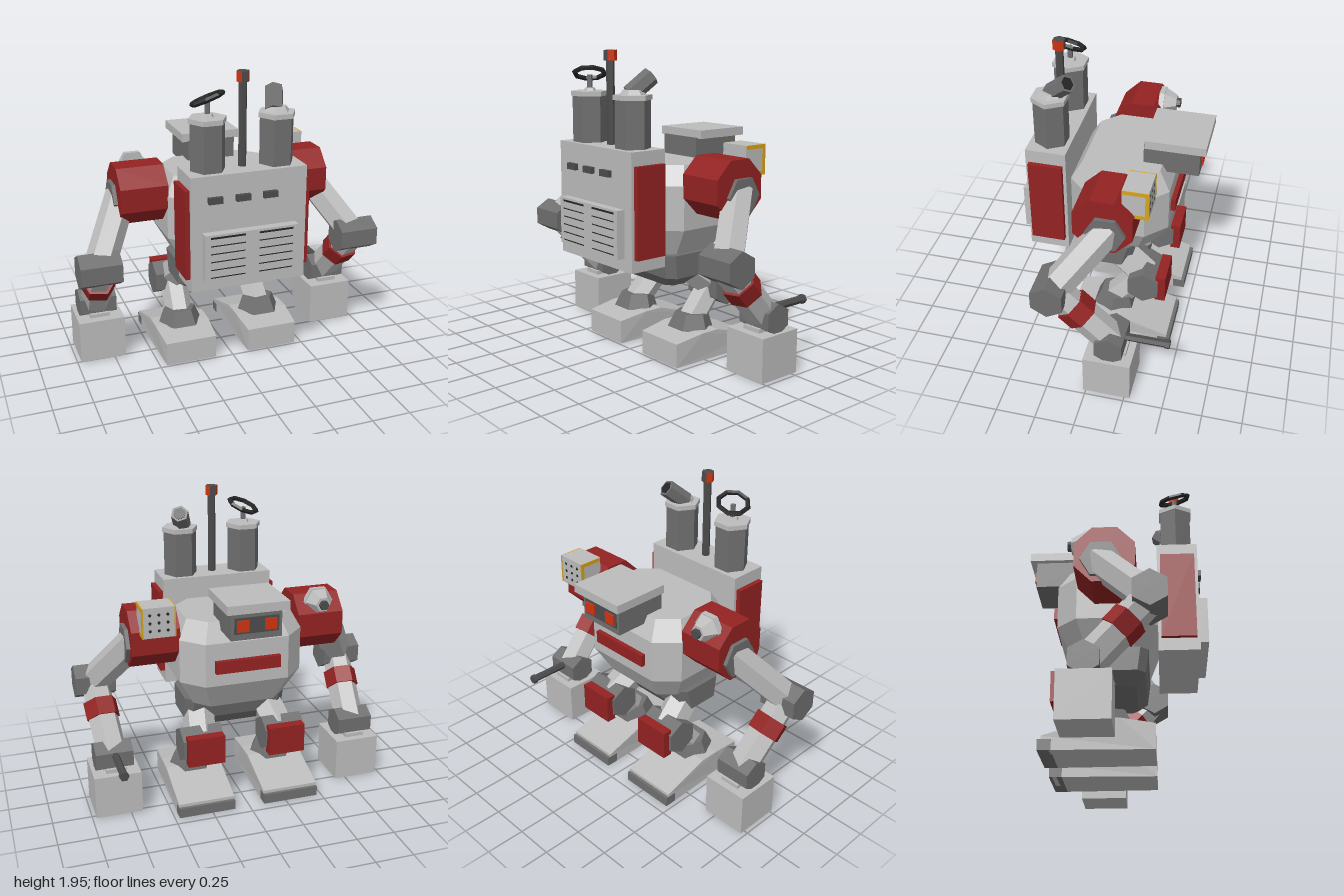
import * as THREE from 'three';

const mat = (name, color, side = THREE.FrontSide) =>
  Object.assign(new THREE.MeshStandardMaterial({ color, flatShading: true, side }), { name });

export function createModel() {
  const light = mat('light grey', 0xbcbcbc);
  const dark = mat('dark grey', 0x6f6f6f);
  const black = mat('black', 0x262626, THREE.DoubleSide);
  const steel = mat('gunmetal', 0x4c4c4c, THREE.DoubleSide);
  const red = mat('armour red', 0x942222);
  const glow = mat('signal red', 0xd03412);
  const yellow = mat('hazard yellow', 0xd6a51c);

  const root = new THREE.Group();
  const V = (x, y, z) => new THREE.Vector3(x, y, z);
  const add = (name, geo, m) => {
    const mesh = new THREE.Mesh(geo, m);
    mesh.name = name;
    root.add(mesh);
    return mesh;
  };
  // Box given by its limits on each axis
  const box = (name, m, x0, x1, y0, y1, z0, z1) => {
    const g = new THREE.BoxGeometry(Math.abs(x1 - x0), y1 - y0, Math.abs(z1 - z0));
    return add(name, g.translate((x0 + x1) / 2, (y0 + y1) / 2, (z0 + z1) / 2), m);
  };
  // Faceted bar between two points
  const bar = (name, m, a, b, r0, r1 = r0, sides = 6, open = false) => {
    const d = b.clone().sub(a);
    const g = new THREE.CylinderGeometry(r1, r0, d.length(), sides, 1, open, Math.PI / sides);
    const mesh = add(name, g, m);
    mesh.position.copy(a).add(b).multiplyScalar(0.5);
    mesh.quaternion.setFromUnitVectors(V(0, 1, 0), d.normalize());
    return mesh;
  };
  // Prism lying along x; turn is the angle of its first corner
  const axle = (name, m, x0, x1, y, z, r, sides, turn) => {
    const g = new THREE.CylinderGeometry(r, r, Math.abs(x1 - x0), sides, 1, false, turn);
    return add(name, g.rotateZ(Math.PI / 2).translate((x0 + x1) / 2, y, z), m);
  };
  // Chamfered plan sections [y, halfWidth, zBack, zFront, chamfer], bottom to top
  const loft = (name, m, sections) => {
    const rings = sections.map(([y, x, z0, z1, c]) => [
      V(x, y, z1 - c), V(x, y, z0 + c), V(x - c, y, z0), V(c - x, y, z0),
      V(-x, y, z0 + c), V(-x, y, z1 - c), V(c - x, y, z1), V(x - c, y, z1)]);
    const pts = [];
    for (let k = 0; k + 1 < rings.length; k++) {
      for (let i = 0; i < 8; i++) {
        const j = (i + 1) % 8, a = rings[k], b = rings[k + 1];
        pts.push(a[i], a[j], b[j], a[i], b[j], b[i]);
      }
    }
    const bottom = rings[0], top = rings[rings.length - 1];
    for (let i = 1; i < 7; i++) {
      pts.push(top[0], top[i], top[i + 1], bottom[0], bottom[i + 1], bottom[i]);
    }
    const g = new THREE.BufferGeometry().setFromPoints(pts);
    g.computeVertexNormals();
    return add(name, g, m);
  };

  // Torso and pelvis
  loft('torso', light, [
    [0.67, 0.3, -0.27, 0.2, 0.09], [0.85, 0.4, -0.37, 0.26, 0.13],
    [1.13, 0.4, -0.37, 0.26, 0.13], [1.25, 0.34, -0.3, 0.19, 0.11]]);
  loft('pelvis', dark, [
    [0.46, 0.25, -0.08, 0.12, 0.04], [0.53, 0.34, -0.13, 0.18, 0.05], [0.68, 0.34, -0.17, 0.2, 0.05]]);
  box('chestBar', red, -0.21, 0.21, 0.94, 1.02, -0.4, -0.36);

  // Head
  box('head', dark, -0.16, 0.16, 1.2, 1.38, -0.53, -0.18);
  box('headRoof', light, -0.195, 0.195, 1.375, 1.43, -0.57, -0.19);
  box('visor', steel, -0.14, 0.14, 1.24, 1.34, -0.535, -0.53);
  for (const s of [-1, 1]) box('eye', glow, s * 0.05, s * 0.125, 1.255, 1.325, -0.545, -0.53);

  // Backpack with slots and a vented panel
  box('backpack', light, -0.37, 0.37, 0.64, 1.37, 0.26, 0.515);
  box('ventPanel', light, -0.3, 0.3, 0.72, 1.02, 0.51, 0.57);
  for (const x of [-0.22, -0.045, 0.13]) box('slot', steel, x - 0.045, x + 0.045, 1.2, 1.24, 0.51, 0.54);
  for (const s of [-1, 1]) {
    box('sidePanel', red, s * 0.36, s * 0.4, 0.72, 1.285, 0.28, 0.495);
    for (let i = 0; i < 6; i++) {
      const y = 0.745 + i * 0.051, t = i === 5 ? 0.006 : 0.003;
      box('vent', black, s * 0.045, s * 0.265, y - t, y + t, 0.569, 0.572);
    }
  }

  // Stacks, valve wheel and exhaust
  for (const s of [-1, 1]) {
    const x = s * 0.22;
    bar('stack', dark, V(x, 1.36, 0.385), V(x, 1.665, 0.385), 0.11);
    bar('stackCap', light, V(x, 1.66, 0.385), V(x, 1.69, 0.385), 0.12);
  }
  bar('wheelPost', dark, V(-0.22, 1.69, 0.385), V(-0.22, 1.79, 0.385), 0.017);
  bar('wheelPostBase', light, V(-0.22, 1.69, 0.385), V(-0.22, 1.71, 0.385), 0.04, 0.03);
  const wheel = add('valveWheel', new THREE.TorusGeometry(0.097, 0.016, 5, 8), black);
  wheel.position.set(-0.22, 1.8, 0.385);
  wheel.quaternion.setFromUnitVectors(V(0, 0, 1), V(-0.35, 1, -0.25).normalize());
  bar('exhaustBase', light, V(0.22, 1.69, 0.385), V(0.22, 1.72, 0.385), 0.08, 0.06);
  bar('exhaustPipe', dark, V(0.2, 1.69, 0.39), V(0.25, 1.8, 0.265), 0.058);
  bar('exhaustMouth', black, V(0.25, 1.8, 0.265), V(0.2512, 1.8026, 0.262), 0.042);

  // Mast with a signal lamp
  bar('mast', steel, V(0, 1.36, 0.385), V(0, 1.89, 0.385), 0.026);
  bar('lamp', steel, V(0, 1.885, 0.385), V(0, 1.948, 0.385), 0.04);
  for (const start of [Math.PI / 6, Math.PI * 7 / 6]) {
    const g = new THREE.CylinderGeometry(0.041, 0.041, 0.064, 2, 1, true, start, Math.PI * 2 / 3);
    add('lampGlass', g.translate(0, 1.917, 0.385), glow);
  }

  // Arms
  for (const s of [-1, 1]) {
    const P = (x, y, z) => V(s * x, y, z);
    axle('shoulder', red, s * 0.39, s * 0.695, 1.13, -0.05, 0.198, 8, Math.PI / 8);
    axle('shoulderJoint', dark, s * 0.6, s * 0.72, 1.09, -0.07, 0.125, 6, 0);
    bar('upperArm', light, P(0.64, 1.11, -0.09), P(0.86, 0.76, 0.2), 0.1);
    axle('elbow', dark, s * 0.74, s * 1.0, 0.745, 0.22, 0.113, 6, Math.PI / 2);
    const elbow = P(0.865, 0.745, 0.22), wrist = P(0.83, 0.36, -0.14);
    const at = t => elbow.clone().lerp(wrist, t);
    bar('forearm', light, elbow, at(0.55), 0.095);
    bar('forearmBand', red, at(0.3), at(0.52), 0.112);
    bar('lowerForearm', light, at(0.5), wrist, 0.1);
    axle('wrist', dark, s * 0.71, s * 0.95, 0.365, -0.14, 0.1, 6, Math.PI / 2);
    box('fist', light, s * 0.675, s * 0.975, 0.005, 0.285, -0.285, 0.015);
    box('fistCollar', light, s * 0.76, s * 0.89, 0.28, 0.31, -0.24, -0.04);
  }
  bar('gunBarrel', steel, V(0.825, 0.395, -0.14), V(0.825, 0.395, -0.48), 0.025);
  bar('gunMuzzle', steel, V(0.825, 0.395, -0.475), V(0.825, 0.395, -0.505), 0.031);

  // Rocket pod on the left shoulder
  box('rocketPod', light, 0.44, 0.64, 1.19, 1.38, -0.315, -0.155);
  for (const x of [0.44, 0.64]) {
    for (const y of [1.19, 1.355]) box('podStripe', yellow, x - 0.004, x + 0.004, y, y + 0.025, -0.312, -0.158);
    box('podEdge', yellow, x - 0.004, x + 0.004, 1.19, 1.38, -0.318, -0.295);
  }
  for (let i = 0; i < 9; i++) {
    const x = 0.485 + (i % 3) * 0.055, y = 1.235 + Math.floor(i / 3) * 0.05;
    bar('rocketHole', black, V(x, y, -0.314), V(x, y, -0.317), 0.01);
  }

  // Spotlight on the right shoulder
  bar('spotlight', light, V(-0.545, 1.27, -0.145), V(-0.545, 1.27, -0.18), 0.098);
  bar('spotlightCone', light, V(-0.545, 1.27, -0.18), V(-0.545, 1.27, -0.26), 0.09, 0.05);
  bar('spotlightLens', steel, V(-0.545, 1.27, -0.255), V(-0.545, 1.27, -0.285), 0.032);

  // Legs; the foot profile runs from heel to toe
  const profile = [[-0.235, 0], [0.42, 0], [0.42, 0.085], [0.1, 0.185], [-0.03, 0.185], [-0.235, 0.155]];
  for (const s of [-1, 1]) {
    const P = (x, y, z) => V(s * x, y, z);
    bar('thigh', light, P(0.22, 0.62, 0.03), P(0.27, 0.43, -0.23), 0.105);
    axle('knee', dark, s * 0.14, s * 0.41, 0.42, -0.24, 0.115, 6, Math.PI / 2);
    box('kneePad', red, s * 0.15, s * 0.39, 0.32, 0.51, -0.385, -0.32);
    box('kneeMount', dark, s * 0.2, s * 0.34, 0.36, 0.47, -0.33, -0.28);
    bar('shin', light, P(0.27, 0.43, -0.23), P(0.285, 0.21, -0.03), 0.09);
    bar('ankle', dark, P(0.285, 0.17, -0.03), P(0.285, 0.27, -0.04), 0.15, 0.11);
    const shape = new THREE.Shape(profile.map(([x, y]) => new THREE.Vector2(x, y)));
    const g = new THREE.ExtrudeGeometry(shape, { depth: 0.37, bevelEnabled: false });
    g.translate(0, 0, -0.185).rotateY(Math.PI / 2);
    const p = g.attributes.position;
    // Narrow the heel
    for (let i = 0; i < p.count; i++) if (p.getZ(i) > 0.2) p.setX(i, p.getX(i) * 0.92);
    g.computeVertexNormals();
    add('foot', g.translate(s * 0.285, 0, 0), light);
    box('toe', dark, s * 0.1, s * 0.47, 0, 0.065, -0.44, -0.36);
  }
  return root;
}
